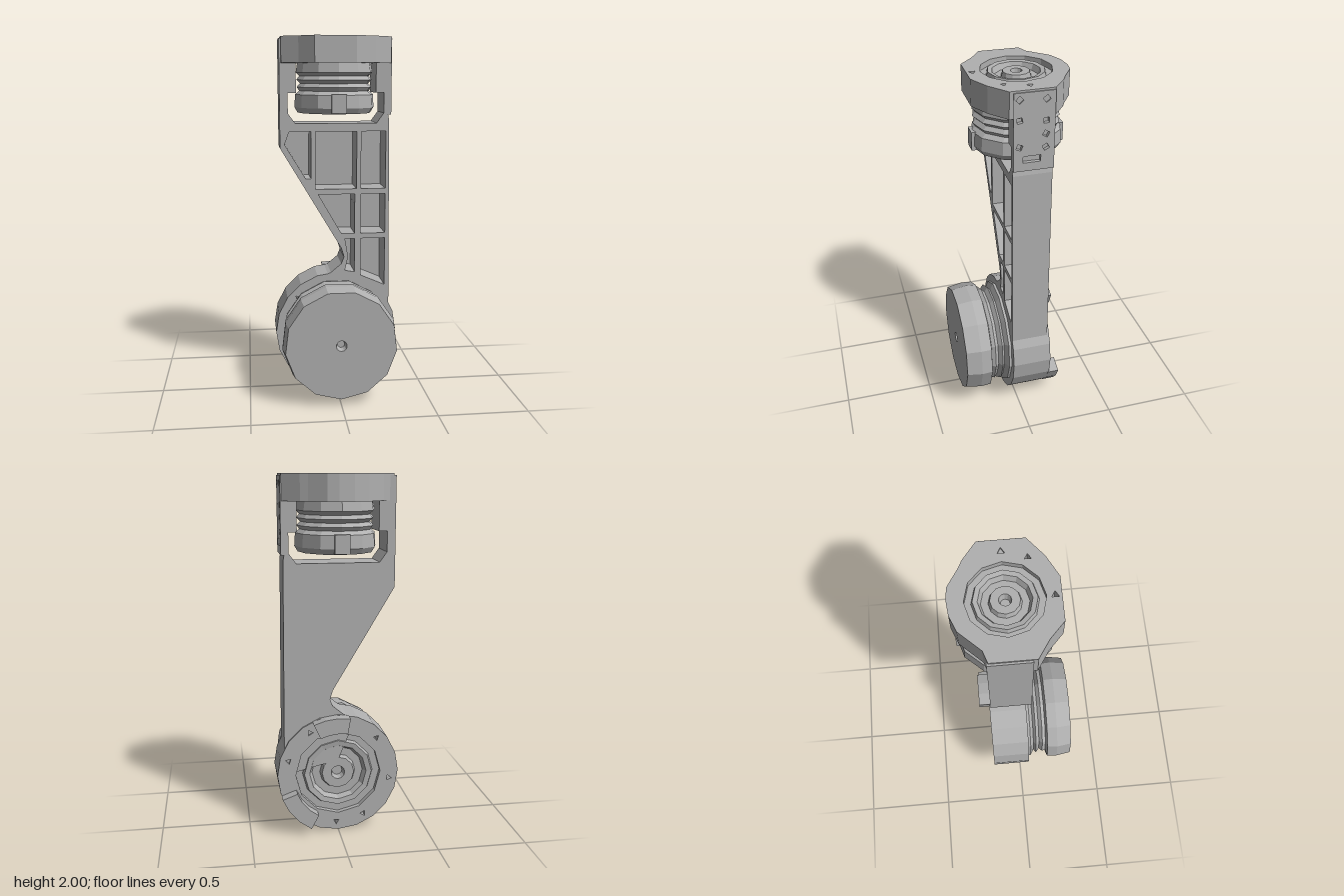
import * as THREE from 'three';

const grey = new THREE.MeshStandardMaterial({ color: 0xb0b0b0, flatShading: true });
grey.name = 'bare grey';

const vecs = (pts) => pts.map(([x, y]) => new THREE.Vector2(x, y));
const ring = (r, n, cx = 0, cy = 0, turn = 0) => Array.from({ length: n }, (_, i) => {
  const a = turn + (i / n) * Math.PI * 2;
  return [cx + r * Math.cos(a), cy + r * Math.sin(a)];
});

function plate(outline, holes, depth) {
  const shape = new THREE.Shape(vecs(outline));
  holes.forEach((h) => shape.holes.push(new THREE.Path(vecs(h))));
  return new THREE.ExtrudeGeometry(shape, { depth, bevelEnabled: false });
}

// concentric stepped rings; local y = 0 is the surrounding face
function hubGeometry(s) {
  const profile = [[0, -0.1], [0.187, -0.1], [0.187, -0.03], [0.155, -0.03], [0.148, -0.006],
    [0.125, -0.01], [0.112, -0.04], [0.078, -0.04], [0.07, -0.012], [0.03, -0.012], [0.022, -0.05], [0, -0.05]];
  return new THREE.LatheGeometry(vecs(profile.map(([r, y]) => [r * s, y])), 12);
}

export function createModel() {
  const model = new THREE.Group();
  const add = (name, geometry, x = 0, y = 0, z = 0, parent = model) => {
    const mesh = new THREE.Mesh(geometry, grey);
    mesh.name = name;
    mesh.position.set(x, y, z);
    parent.add(mesh);
    return mesh;
  };

  // arm: ribbed open front, closed back, forked top
  const armOutline = [[-0.31, 1.99], [-0.31, 1.4], [0.03, 0.83], [0.045, 0.78], [0.03, 0.74],
    [-0.03, 0.69], [-0.1, 0.66], [0, 0.42], [0.305, 0.345], [0.295, 1.55], [0.285, 1.6], [0.285, 1.99],
    [0.22, 1.99], [0.22, 1.7], [0.265, 1.7], [0.265, 1.59], [0.225, 1.535],
    [-0.225, 1.535], [-0.265, 1.59], [-0.265, 1.7], [-0.22, 1.7], [-0.22, 1.99]];
  const pockets = [
    [[-0.285, 1.42], [-0.26, 1.49], [-0.14, 1.49], [-0.14, 1.23], [-0.17, 1.23]],
    [[-0.115, 1.49], [0.115, 1.49], [0.115, 1.17], [-0.115, 1.17]],
    [[0.14, 1.49], [0.278, 1.49], [0.278, 1.17], [0.14, 1.17]],
    [[-0.1, 1.14], [0.105, 1.14], [0.105, 0.915], [0.03, 0.915]],
    [[0.14, 1.14], [0.278, 1.14], [0.278, 0.915], [0.14, 0.915]],
    [[0.05, 0.885], [0.105, 0.885], [0.105, 0.69], [0.05, 0.7], [0.068, 0.78]],
    [[0.14, 0.885], [0.278, 0.885], [0.278, 0.61], [0.14, 0.67]],
  ];
  add('armFrame', plate(armOutline, pockets, 0.18), 0, 0, -0.13);
  add('armBackPanel', plate(armOutline, [], 0.028), 0, 0, -0.158);
  add('ribBoss', new THREE.BoxGeometry(0.035, 0.06, 0.16), 0.122, 1.06, -0.03);

  // drilled cheek on the straight side of the fork
  const drill = [[-0.02, 1.955], [-0.02, 1.85], [-0.02, 1.71], [0.115, 1.95], [0.115, 1.84], [0.115, 1.77], [0.115, 1.7]]
    .map(([u, y], i) => ring(0.02, 4, u, y, i));
  drill.push([[0, 1.625], [0.09, 1.625], [0.09, 1.66], [0, 1.66]]);
  const cheek = plate([[-0.05, 1.58], [0.16, 1.58], [0.16, 1.99], [-0.05, 1.99]], drill, 0.022);
  cheek.rotateY(Math.PI / 2);
  add('forkCheek', cheek, 0.284);

  // upper joint, axis upright
  const top = new THREE.Group();
  top.name = 'upperJoint';
  top.position.z = -0.05;
  model.add(top);
  const cap = plate([[-0.3, 0.12], [-0.21, 0.18], [-0.13, 0.255], [0.09, 0.257], [0.2, 0.2], [0.3, 0.12],
    [0.3, -0.11], [0.21, -0.18], [0.17, -0.2], [0.08, -0.257], [0.02, -0.265], [-0.06, -0.257], [-0.14, -0.225], [-0.24, -0.12], [-0.3, -0.1]],
  [ring(0.186, 12), ring(0.02, 3, 0.24, 0), ring(0.02, 3, 0, 0.225), ring(0.018, 3, 0.2, 0.12)], 0.14);
  cap.rotateX(Math.PI / 2);
  add('upperCap', cap, 0, 2, 0, top);
  add('upperHub', hubGeometry(1), 0, 2, 0, top);
  const motor = new THREE.LatheGeometry(vecs([[0, 1.59], [0.225, 1.59], [0.245, 1.62], [0.24, 1.69], [0.215, 1.71],
    [0.23, 1.73], [0.21, 1.75], [0.232, 1.77], [0.215, 1.79], [0.235, 1.81], [0.225, 1.87], [0, 1.87]]), 12);
  motor.scale(0.91, 1, 1);
  add('upperMotor', motor, 0, 0, 0, top);
  for (const s of [-1, 1]) {
    add('motorLug', new THREE.BoxGeometry(0.08, 0.1, 0.03), 0, 1.645, s * 0.232, top);
  }

  // lower joint, axis front to back
  const low = new THREE.Group();
  low.name = 'lowerJoint';
  low.position.y = 0.345;
  model.add(low);
  const screws = [0.3, 1.0, 2.4, 3.3, 4.2, 4.75].map((a) => ring(0.018, 3, 0.295 * Math.cos(a), 0.295 * Math.sin(a), a));
  add('lowerHousing', plate(ring(0.345, 20), [ring(0.242, 12, 0, 0, Math.PI / 2), ...screws], 0.22), 0, 0, -0.17, low);
  const backHub = add('lowerHub', hubGeometry(1.3), 0, 0, -0.17, low);
  backHub.rotation.x = -Math.PI / 2;

  // raised stops on the back rim, given by angle range in degrees
  for (const [from, to] of [[65, 100], [-62, -20]]) {
    const arc = (r, t) => {
      const a = THREE.MathUtils.degToRad(from + (to - from) * t);
      return [r * Math.cos(a), r * Math.sin(a)];
    };
    const steps = [0, 0.33, 0.67, 1];
    const outline = [...steps.map((t) => arc(0.344, t)), ...steps.map((t) => arc(0.255, 1 - t))];
    add('rimStop', plate(outline, [], 0.065), 0, 0, -0.23, low);
  }

  // front drum: grooved motor neck and flat cover
  const drum = new THREE.LatheGeometry(vecs([[0, 0.03], [0.3, 0.03], [0.305, 0.065], [0.27, 0.085], [0.29, 0.1],
    [0.265, 0.12], [0.285, 0.14], [0.275, 0.16], [0.318, 0.17], [0.322, 0.23], [0.308, 0.316], [0.03, 0.316], [0.02, 0.28], [0, 0.28]]), 13);
  drum.rotateX(Math.PI / 2);
  add('lowerMotorDrum', drum, 0, 0, 0, low);
  return model;
}
